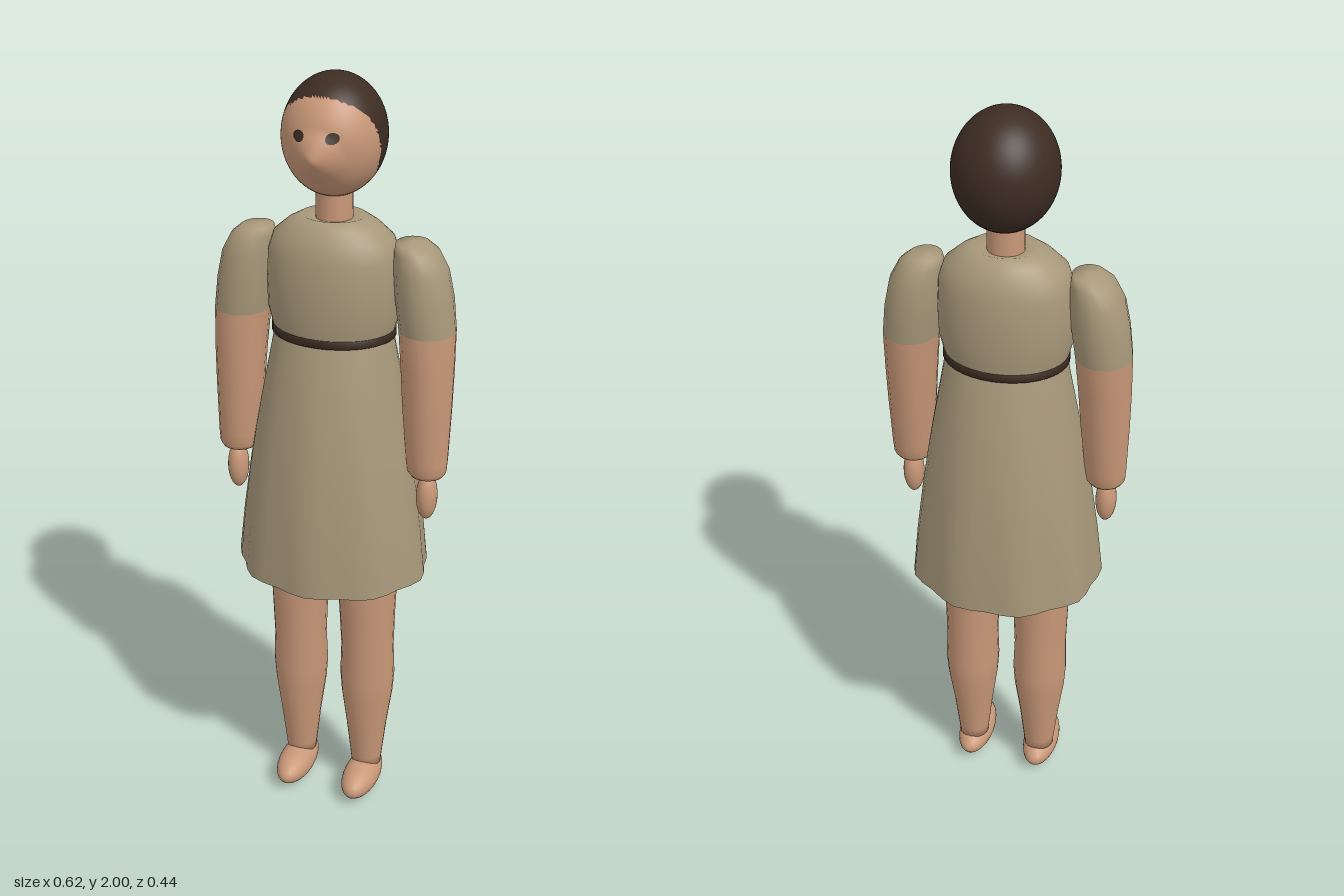
import * as THREE from 'three';

const mat = (name, color, side = THREE.FrontSide) => {
  const m = new THREE.MeshStandardMaterial({ color, side });
  m.name = name;
  return m;
};

// Smooth skin over elliptical rings [y, cx, cz, rx, rz], listed from top to bottom
function loft(rings, sides, ripple = () => 1) {
  const pos = [], idx = [];
  rings.forEach(([y, cx, cz, rx, rz]) => {
    for (let i = 0; i < sides; i++) {
      const a = (i / sides) * Math.PI * 2, k = ripple(a, y);
      pos.push(cx + Math.cos(a) * rx * k, y, cz + Math.sin(a) * rz * k);
    }
  });
  for (let r = 0; r < rings.length - 1; r++) {
    for (let i = 0; i < sides; i++) {
      const j = (i + 1) % sides;
      const a = r * sides + i, b = r * sides + j, c = a + sides, d = b + sides;
      idx.push(a, b, c, b, d, c);
    }
  }
  const g = new THREE.BufferGeometry();
  g.setAttribute('position', new THREE.Float32BufferAttribute(pos, 3));
  g.setIndex(idx);
  g.computeVertexNormals();
  return g;
}

const ellipsoid = (rx, ry, rz) => new THREE.SphereGeometry(1, 24, 16).scale(rx, ry, rz);

// Head ellipsoid, with a pointed nose
const HEAD = { y: 1.855, z: -0.005, rx: 0.125, ry: 0.145, rz: 0.135 };
const nose = (x, y) => 0.028 * Math.max(0, 1 - Math.hypot(x, y - 1.828) / 0.065);
const faceZ = (x, y) => HEAD.z + nose(x, y) +
  HEAD.rz * Math.sqrt(Math.max(0, 1 - (x / HEAD.rx) ** 2 - ((y - HEAD.y) / HEAD.ry) ** 2));

// Hairline: [height, furthest forward z of the hair]
const HAIRLINE = [[1.70, -0.11], [1.72, -0.075], [1.76, -0.02], [1.79, 0.01],
  [1.87, 0.03], [1.92, 0.053], [1.96, 0.085], [2.01, 0.2]];
function hairLimit(y) {
  for (let i = 1; i < HAIRLINE.length; i++) {
    const [y0, z0] = HAIRLINE[i - 1], [y1, z1] = HAIRLINE[i];
    if (y <= y1) return z0 + ((z1 - z0) * (y - y0)) / (y1 - y0);
  }
  return 1;
}

// Material 0 is the face, material 1 the hair
function headGeometry() {
  const g = new THREE.SphereGeometry(1, 72, 52).scale(HEAD.rx, HEAD.ry, HEAD.rz)
    .translate(0, HEAD.y, HEAD.z);
  const p = g.attributes.position;
  for (let i = 0; i < p.count; i++) {
    if (p.getZ(i) > 0) p.setZ(i, p.getZ(i) + nose(p.getX(i), p.getY(i)));
  }
  const sets = [[], []], src = g.index.array;
  for (let t = 0; t < src.length; t += 3) {
    const tri = [src[t], src[t + 1], src[t + 2]];
    const y = tri.reduce((s, v) => s + p.getY(v), 0) / 3;
    const z = tri.reduce((s, v) => s + p.getZ(v), 0) / 3;
    sets[z < hairLimit(y) ? 1 : 0].push(...tri);
  }
  g.setIndex([...sets[0], ...sets[1]]);
  g.addGroup(0, sets[0].length, 0);
  g.addGroup(sets[0].length, sets[1].length, 1);
  g.computeVertexNormals();
  return g;
}

// Small disc laid on the face
function eyeGeometry(x) {
  const g = new THREE.CircleGeometry(1, 14).scale(0.015, 0.013, 1).translate(x, 1.879, 0);
  const p = g.attributes.position;
  for (let i = 0; i < p.count; i++) p.setZ(i, faceZ(p.getX(i), p.getY(i)) + 0.003);
  g.computeVertexNormals();
  return g;
}

export function createModel() {
  const model = new THREE.Group();
  const skin = mat('skin', 0xc99878);
  const hair = mat('dark brown', 0x3d2c22);
  const cloth = mat('dress cloth', 0xa8987a, THREE.DoubleSide);
  const add = (name, geometry, material, parent = model) => {
    const m = new THREE.Mesh(geometry, material);
    m.name = name;
    parent.add(m);
    return m;
  };

  // Head and neck
  add('head', headGeometry(), [skin, hair]);
  add('neck', new THREE.CylinderGeometry(0.044, 0.046, 0.18, 20).translate(0, 1.68, -0.003), skin);

  // Dress: bodice, waistband and an open rippled skirt
  add('bodice', loft([
    [1.655, 0, 0, 0.04, 0.04], [1.664, 0, 0, 0.08, 0.07], [1.645, 0, 0, 0.115, 0.09],
    [1.615, 0, 0, 0.15, 0.112], [1.57, 0, 0, 0.164, 0.125], [1.5, 0, 0, 0.168, 0.131],
    [1.43, 0, 0, 0.166, 0.131], [1.38, 0, 0, 0.153, 0.125], [1.365, 0, 0, 0.15, 0.123],
  ], 36), cloth);
  add('waistband', loft([
    [1.386, 0, 0, 0.15, 0.122], [1.386, 0, 0, 0.157, 0.129],
    [1.366, 0, 0, 0.157, 0.129], [1.366, 0, 0, 0.148, 0.12],
  ], 36), hair);
  add('skirt', loft([
    [1.37, 0, 0, 0.15, 0.124], [1.3, 0, 0, 0.163, 0.143], [1.2, 0, 0, 0.182, 0.164],
    [1.1, 0, 0, 0.2, 0.182], [1.0, 0, 0, 0.216, 0.196], [0.85, 0, 0, 0.236, 0.211],
    [0.715, 0, 0, 0.25, 0.218],
  ], 36, (a, y) => 1 + 0.028 * ((1.37 - y) / 0.655) * Math.cos(9 * (a - Math.PI / 2))), cloth);

  for (const s of [1, -1]) {
    const side = s > 0 ? 'left' : 'right';
    const mirror = (rings) => rings.map(([y, cx, ...rest]) => [y, cx * s, ...rest]);

    add(side + 'Eye', eyeGeometry(0.041 * s), hair);

    // Arm: sleeve, bare arm, hand
    const arm = new THREE.Group();
    arm.name = side + 'Arm';
    model.add(arm);
    add(side + 'Sleeve', loft(mirror([
      [1.62, 0.195, 0, 0, 0], [1.616, 0.198, 0, 0.04, 0.045], [1.595, 0.209, 0, 0.054, 0.064],
      [1.55, 0.221, 0, 0.066, 0.075], [1.48, 0.231, 0, 0.071, 0.079], [1.4, 0.241, 0.002, 0.07, 0.076],
    ]), 16), cloth, arm);
    add(side + 'Forearm', loft(mirror([
      [1.4, 0.241, 0.002, 0.07, 0.076], [1.3, 0.246, 0.008, 0.066, 0.07],
      [1.2, 0.249, 0.012, 0.062, 0.062], [1.06, 0.254, 0.018, 0.053, 0.052],
      [1.03, 0.255, 0.019, 0.05, 0.048], [1.018, 0.255, 0.02, 0.042, 0.04], [1.015, 0.255, 0.02, 0, 0],
    ]), 16), skin, arm);
    add(side + 'Hand', ellipsoid(0.027, 0.065, 0.032).translate(0.258 * s, 0.96, 0.024), skin, arm);

    // Leg and foot
    const leg = new THREE.Group();
    leg.name = side + 'Leg';
    model.add(leg);
    add(side + 'Shin', loft(mirror([
      [0.88, 0.093, 0, 0, 0], [0.86, 0.093, 0, 0.08, 0.08], [0.7, 0.094, 0.002, 0.082, 0.082],
      [0.58, 0.096, 0.002, 0.075, 0.077], [0.46, 0.097, 0, 0.071, 0.072], [0.37, 0.097, -0.002, 0.074, 0.076],
      [0.31, 0.097, -0.002, 0.07, 0.071], [0.2, 0.097, 0, 0.055, 0.057],
      [0.1, 0.097, 0, 0.044, 0.045], [0.07, 0.097, 0, 0.041, 0.042], [0.055, 0.097, 0, 0, 0],
    ]), 20), skin, leg);
    add(side + 'Foot', ellipsoid(0.049, 0.044, 0.107).translate(0.097 * s, 0.044, 0.035), skin, leg);
  }
  return model;
}
